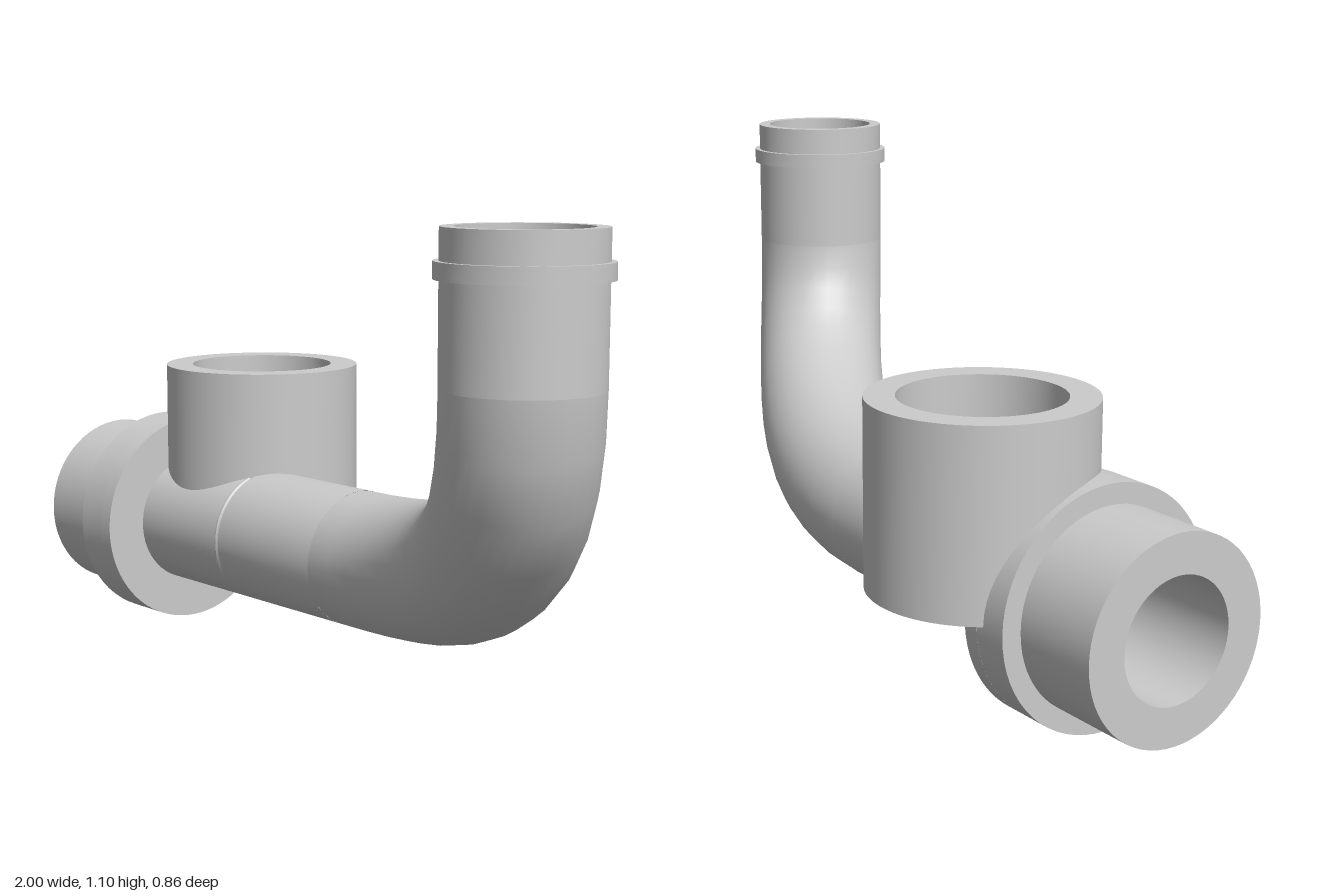
import * as THREE from 'three';
import { toCreasedNormals } from 'three/addons/utils/BufferGeometryUtils.js';

const CY = 0.272, CZ = -0.06;          // main pipe axis
const R = 0.163, BORE = 0.135;         // pipe outer and inner radius
const BX = -0.525, BZ = -0.185;        // branch axis
const BR = 0.247, BB = 0.18;           // branch outer and inner radius
const CUT = 0.24;                      // floor of the branch bore
const FACE = -0.665, FLANGE = 0.267;   // flange face and radius

const material = new THREE.MeshStandardMaterial({ color: 0xcccccc, side: THREE.DoubleSide });

// Grid surface from a rule f(u, v) -> [x, y, z]
function surface(f, nu, nv) {
  const pos = [], index = [];
  for (let i = 0; i <= nu; i++)
    for (let j = 0; j <= nv; j++) {
      pos.push(...f(i / nu, j / nv));
      if (i < nu && j < nv) {
        const a = i * (nv + 1) + j, b = a + nv + 1;
        index.push(a, b, a + 1, b, b + 1, a + 1);
      }
    }
  const g = new THREE.BufferGeometry();
  g.setAttribute('position', new THREE.Float32BufferAttribute(pos, 3));
  g.setIndex(index);
  return g;
}

const lathe = (points) =>
  new THREE.LatheGeometry(points.map(([r, y]) => new THREE.Vector2(r, y)), 64);

export function createModel() {
  const model = new THREE.Group();
  const add = (name, geometry) => {
    const mesh = new THREE.Mesh(toCreasedNormals(geometry, 0.6), material);
    mesh.name = name;
    model.add(mesh);
  };

  // Inlet socket with the outer part of its flange
  add('inletSocket', lathe([
    [BORE, -0.705], [BORE, -1], [0.222, -1], [0.222, -0.79],
    [FLANGE, -0.79], [FLANGE, -0.705], [BORE, -0.705],
  ]).rotateZ(-Math.PI / 2).translate(0, CY, CZ));

  // Flange face, notched where the branch bore passes
  const n0 = 0.012, n1 = 0.238, floor = CUT - CY;
  const s = new THREE.Shape();
  s.absarc(0, 0, FLANGE, Math.acos(n0 / FLANGE), Math.acos(n1 / FLANGE) + Math.PI * 2, false);
  s.lineTo(n1, floor);
  s.lineTo(Math.sqrt(BORE * BORE - floor * floor), floor);
  s.absarc(0, 0, BORE, Math.asin(floor / BORE), Math.acos(n0 / BORE) - Math.PI * 2, true);
  s.closePath();
  add('flangeFace', new THREE.ExtrudeGeometry(s, {
    depth: FACE + 0.705, bevelEnabled: false, curveSegments: 64,
  }).rotateY(Math.PI / 2).translate(-0.705, CY, CZ));

  // Pipe wall below the branch, opened by the branch bore
  const x1 = BX + BB;
  const cutPoint = (r, u, v) => {
    const x = FACE + (x1 - FACE) * u;
    const h = Math.sqrt(Math.max(0, BB * BB - (x - BX) ** 2));
    const start = Math.acos((BZ + h - CZ) / r);
    const end = -Math.PI + Math.asin((CY - CUT) / r);
    const a = start + (end - start) * v;
    return [x, CY + r * Math.sin(a), CZ + r * Math.cos(a)];
  };
  add('openPipeOuter', surface((u, v) => cutPoint(R, u, v), 32, 40));
  add('openPipeInner', surface((u, v) => cutPoint(BORE, u, v), 32, 40));
  add('openPipeRim', surface((u, v) => cutPoint(BORE + (R - BORE) * v, u, 1), 4, 1));

  // Straight pipe and its sweeping bend, outside and inside
  const bend = new THREE.CubicBezierCurve3(
    new THREE.Vector3(0, CY, CZ), new THREE.Vector3(0.4, CY, CZ),
    new THREE.Vector3(0.822, 0.4, 0.255), new THREE.Vector3(0.822, 0.79, 0.255));
  for (const [side, r] of [['Outer', R], ['Inner', BORE]]) {
    add('straightPipe' + side, new THREE.CylinderGeometry(r, r, -x1, 48, 1, true)
      .rotateZ(Math.PI / 2).translate(x1 / 2, CY, CZ));
    add('bend' + side, new THREE.TubeGeometry(bend, 12, r, 32));
  }

  // Upright branch: its lower edge follows the main bore
  const lower = (z) => {
    const d = BORE + 0.001, dz = z - CZ;
    return Math.abs(dz) < d ? CY + Math.sqrt(d * d - dz * dz) : CY;
  };
  const steps = 6;
  add('branchSocket', surface((u, v) => {
    const j = Math.round(v * (steps + 3));
    const t = Math.min(1, Math.max(0, (j - 1) / steps));
    const top = j === 0 || j >= steps + 2;
    const r = j === steps + 3 ? BB : BB + (BR - BB) * t;
    const a = u * Math.PI * 2;
    const z = BZ + r * Math.sin(a);
    return [BX + r * Math.cos(a), top ? 0.685 : lower(z), z];
  }, 96, steps + 3));

  // Outlet spigot with a raised collar
  add('outletSpigot', lathe([
    [BORE, 0.79], [BORE, 1.1], [R, 1.1], [R, 1.035],
    [0.175, 1.035], [0.175, 1.0], [R, 1.0], [R, 0.79],
  ]).translate(0.822, 0, 0.255));

  return model;
}
